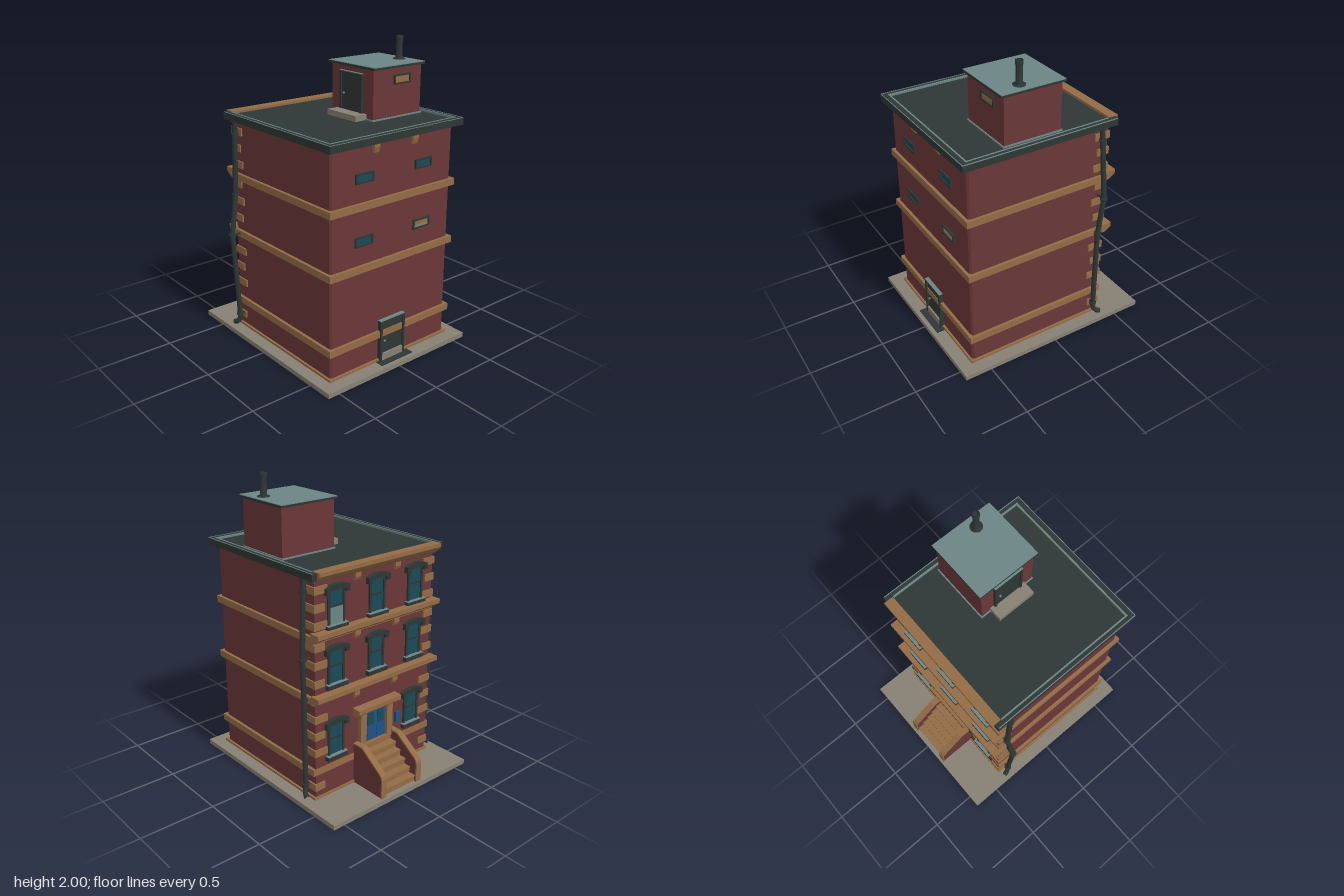
import * as THREE from 'three';

const mat = (name, color) => Object.assign(new THREE.MeshStandardMaterial({ color }), { name });
const brick = mat('brick', 0x6a3737);
const tan = mat('sandstone', 0x936b45);
const dark = mat('dark iron', 0x2e3735);
const slate = mat('pale slate', 0x6c8585);
const stone = mat('pavement', 0x878073);
const blue = mat('door blue', 0x1f5288);
const glass = mat('window glass', 0x174a58);

export function createModel() {
  const root = new THREE.Group();
  root.name = 'townhouse';
  let target = root;

  const add = (name, geo, m) => {
    const mesh = new THREE.Mesh(geo, m);
    mesh.name = name;
    target.add(mesh);
    return mesh;
  };
  const box = (name, m, x0, x1, y0, y1, z0, z1) => {
    const mesh = add(name, new THREE.BoxGeometry(x1 - x0, y1 - y0, z1 - z0), m);
    mesh.position.set((x0 + x1) / 2, (y0 + y1) / 2, (z0 + z1) / 2);
    return mesh;
  };
  const group = (name, build) => {
    const g = new THREE.Group();
    g.name = name;
    root.add(g);
    target = g;
    build();
    target = root;
  };
  // Profile in x and y, extruded along z
  const profile = (name, m, pts, z0, z1) => {
    const shape = new THREE.Shape(pts.map(p => new THREE.Vector2(...p)));
    const geo = new THREE.ExtrudeGeometry(shape, { depth: z1 - z0, bevelEnabled: false });
    return add(name, geo.translate(0, 0, z0), m);
  };
  // Dark block with a slate top
  const capped = (name, x0, x1, y0, y1, z0, z1) => {
    box(name, dark, x0, x1, y0, y1 - 0.004, z0, z1);
    box(name + 'Cap', slate, x0, x1, y1 - 0.004, y1, z0, z1);
  };

  // Pavement and the wall footings that show under it
  box('pavement', stone, -0.688, 0.688, 0.003, 0.035, -0.5875, 0.5875);
  group('footings', () => {
    for (const s of [-1, 1]) {
      box('sideFooting', brick, -0.4, 0.585, 0, 0.01, s * 0.482 - 0.008, s * 0.482 + 0.008);
      box('facadeFooting', brick, -0.4, -0.385, 0, 0.01, s * 0.315 - 0.165, s * 0.315 + 0.165);
    }
    box('rearFooting', brick, 0.57, 0.585, 0, 0.01, -0.49, 0.49);
  });

  // Main walls with narrow chamfered rear corners
  const plan = new THREE.Shape([[-0.4, -0.49], [0.573, -0.49], [0.585, -0.478], [0.585, 0.478], [0.573, 0.49], [-0.4, 0.49]]
    .map(p => new THREE.Vector2(...p)));
  const walls = new THREE.ExtrudeGeometry(plan, { depth: 1.46, bevelEnabled: false });
  walls.rotateX(-Math.PI / 2).translate(0, 0.035, 0);
  add('walls', walls, brick);

  // Stone courses
  group('courses', () => {
    box('baseCourse', tan, -0.41, 0.6, 0.035, 0.05, -0.505, 0.505);
    for (const [y0, y1] of [[0.205, 0.25], [0.695, 0.74], [1.09, 1.135]])
      box('course', tan, -0.405, 0.605, y0, y1, -0.51, 0.51);
    for (const y of [0.695, 1.1])
      profile('facadeCornice', tan, [[-0.39, y], [-0.415, y], [-0.44, y + 0.015], [-0.46, y + 0.03],
        [-0.46, y + 0.06], [-0.39, y + 0.06]], -0.515, 0.515);
    profile('topCornice', tan, [[-0.395, 1.535], [-0.46, 1.535], [-0.46, 1.51], [-0.44, 1.485],
      [-0.415, 1.465], [-0.395, 1.465]], -0.5, 0.5);
  });

  // Corner quoins, alternately long and short
  group('quoins', () => {
    [0.12, 0.36, 0.475, 0.59, 0.825, 0.945, 1.06, 1.195, 1.305, 1.415].forEach((y, i) => {
      const len = i % 2 ? 0.1 : 0.08;
      for (const s of [-1, 1]) {
        const z = [s * 0.5, s * (0.5 - len)].sort((a, b) => a - b);
        box('quoin', tan, -0.41, -0.4 + len, y - 0.024, y + 0.024, z[0], z[1]);
      }
    });
  });

  // Brackets below the eaves and the facade cornices
  const bracket = (x, dir, y) => z => profile('bracket', tan,
    (dir > 0 ? [[0, 0], [0, -0.075], [0.012, -0.065], [0.022, -0.03], [0.022, 0]]
      : [[0, 0], [-0.02, 0], [-0.02, -0.03], [-0.01, -0.05], [0, -0.05]]).map(p => [x + p[0], y + p[1]]), z - 0.022, z + 0.022);
  group('brackets', () => {
    [-0.153, 0.157].forEach(bracket(0.584, 1, 1.487));
    for (const y of [0.697, 1.1, 1.47]) [-0.165, 0.165].forEach(bracket(-0.399, -1, y));
  });

  // Small horizontal window on a wall facing +x
  const slotWindow = (x, y, z, pane) => {
    const w = 0.07, h = 0.031, t = 0.01;
    for (const s of [-1, 1]) {
      box('windowFrame', dark, x - 0.01, x + 0.012, y + s * (h - t / 2) - t / 2, y + s * (h - t / 2) + t / 2, z - w, z + w);
      box('windowFrame', dark, x - 0.01, x + 0.012, y - h, y + h, z + s * (w - t / 2) - t / 2, z + s * (w - t / 2) + t / 2);
    }
    box('windowPane', pane, x - 0.004, x + 0.004, y - h + t, y + h - t, z - w + t, z + w - t);
  };
  group('sideWindows', () => {
    for (const y of [1.285, 0.893]) for (const z of [0.24, -0.237])
      slotWindow(0.585, y, z, y < 1 && z < 0 ? tan : glass);
    box('windowBlind', stone, 0.588, 0.591, 0.871, 0.885, -0.295, -0.18);
  });

  // Facade windows with arched hoods and sills
  const hood = new THREE.Shape();
  hood.moveTo(-0.09, -0.025).lineTo(-0.09, 0.015).quadraticCurveTo(0, 0.055, 0.09, 0.015)
    .lineTo(0.09, -0.025).lineTo(0.06, -0.025).lineTo(0.06, 0).lineTo(-0.06, 0).lineTo(-0.06, -0.025);
  const facadeWindow = (y, z) => {
    const h = 0.23;
    box('windowPane', glass, -0.405, -0.397, y, y + h, z - 0.06, z + 0.06);
    for (const s of [-1, 1]) box('windowJamb', dark, -0.412, -0.395, y, y + h, z + s * 0.058 - 0.008, z + s * 0.058 + 0.008);
    box('windowRail', dark, -0.41, -0.395, y + 0.11, y + 0.122, z - 0.06, z + 0.06);
    capped('windowSill', -0.43, -0.395, y - 0.028, y + 0.004, z - 0.08, z + 0.08);
    const geo = new THREE.ExtrudeGeometry(hood, { depth: 0.035, bevelEnabled: false, curveSegments: 8 });
    add('windowHood', geo.rotateY(-Math.PI / 2).translate(-0.395, y + h - 0.01, z), dark);
  };
  group('facadeWindows', () => {
    for (const z of [-0.33, 0, 0.33]) {
      for (const y of [0.8, 1.18]) facadeWindow(y, z);
      if (z) facadeWindow(0.31, z);
    }
    box('curtain', slate, -0.408, -0.404, 1.185, 1.29, -0.38, -0.28);
  });

  // Front entrance
  group('entrance', () => {
    box('entranceDoor', blue, -0.412, -0.395, 0.3, 0.52, -0.09, 0.09);
    for (const s of [-1, 1]) {
      box('doorPanel', blue, -0.417, -0.41, 0.315, 0.39, s * 0.043 - 0.03, s * 0.043 + 0.03);
      box('doorGlass', glass, -0.415, -0.41, 0.41, 0.5, s * 0.043 - 0.028, s * 0.043 + 0.028);
      box('doorPost', tan, -0.43, -0.395, 0.3, 0.52, s * 0.115 - 0.025, s * 0.115 + 0.025);
    }
    profile('doorHood', tan, [[-0.395, 0.515], [-0.43, 0.515], [-0.46, 0.54], [-0.46, 0.57], [-0.395, 0.575]], -0.185, 0.185);
    box('letterBox', blue, -0.42, -0.395, 0.35, 0.425, 0.185, 0.225);
  });

  // Entrance stairs between solid side walls
  group('stairs', () => {
    const n = 6;
    for (let i = 0; i < n; i++) {
      const x = -0.655 + i * 0.045, top = 0.035 + (i + 1) * 0.0435;
      box('riser', tan, x + 0.006, -0.395, top - 0.044, top - 0.012, -0.14, 0.14);
      box('tread', tan, x, -0.395, top - 0.012, top, -0.14, 0.14);
    }
    const edge = [[-0.67, 0.035], [-0.67, 0.165], [-0.664, 0.188], [-0.645, 0.208], [-0.49, 0.318], [-0.475, 0.322], [-0.395, 0.322]];
    for (const z of [-0.157, 0.153]) {
      profile('stairWall', brick, [[-0.395, 0.035], [-0.395, 0.315], [-0.474, 0.315], [-0.486, 0.311], [-0.641, 0.201],
        [-0.657, 0.184], [-0.662, 0.164], [-0.662, 0.035]], z - 0.018, z + 0.018);
      const inner = [[-0.395, 0.312], [-0.472, 0.312], [-0.484, 0.308], [-0.639, 0.198], [-0.654, 0.182], [-0.66, 0.163], [-0.66, 0.035]];
      profile('stairCoping', tan, [...edge, ...inner], z - 0.022, z + 0.022);
    }
  });

  // Rear door
  group('rearDoor', () => {
    box('door', dark, 0.58, 0.6, 0.04, 0.31, -0.09, 0.095);
    for (const s of [-1, 1]) box('doorJamb', dark, 0.58, 0.613, 0.04, 0.315, s * 0.096 - 0.006, s * 0.096 + 0.01);
    capped('doorHead', 0.58, 0.613, 0.303, 0.32, -0.102, 0.106);
    box('doorStep', stone, 0.58, 0.612, 0.035, 0.085, -0.09, 0.095);
    box('doorMat', dark, 0.58, 0.657, 0.03, 0.039, -0.135, 0.13);
    add('doorKnob', new THREE.SphereGeometry(0.008, 10, 8), slate).position.set(0.606, 0.17, 0.065);
  });

  // Flat roof with raised rim and slate edging
  group('roof', () => {
    box('roofDeck', dark, -0.4, 0.6, 1.485, 1.518, -0.5, 0.5);
    for (const s of [-1, 1]) {
      const strip = (z, t, y) => box('rimEdging', slate, -0.435, 0.633, 1.528, y, s * z - t, s * z + t);
      box('sideRim', dark, -0.44, 0.635, 1.485, 1.53, s * 0.517 - 0.018, s * 0.517 + 0.018);
      strip(0.532, 0.003, 1.532);
      box('rimEdging', slate, -0.39, 0.6, 1.515, 1.532, s * 0.5 - 0.005, s * 0.5 + 0.005);
    }
    box('rearRim', dark, 0.595, 0.635, 1.485, 1.53, -0.535, 0.535);
    box('rimEdging', slate, 0.63, 0.635, 1.528, 1.532, -0.535, 0.535);
    box('rimEdging', slate, 0.587, 0.597, 1.515, 1.532, -0.5, 0.5);
  });

  // Roof house with door, window and flue
  group('roofHouse', () => {
    box('roofHouseWalls', brick, -0.067, 0.325, 1.515, 1.838, -0.46, -0.057);
    box('baseFlashing', slate, -0.075, 0.333, 1.515, 1.527, -0.468, -0.049);
    capped('roofHouseRoof', -0.085, 0.347, 1.834, 1.852, -0.473, -0.042);
    box('roofDoor', dark, 0.04, 0.222, 1.55, 1.79, -0.06, -0.048);
    for (const x of [0.025, 0.22]) box('roofDoorJamb', dark, x, x + 0.015, 1.55, 1.8, -0.06, -0.04);
    capped('roofDoorHead', 0.025, 0.235, 1.785, 1.802, -0.06, -0.04);
    add('doorKnob', new THREE.SphereGeometry(0.008, 10, 8), slate).position.set(0.065, 1.66, -0.042);
    box('roofStep', stone, -0.003, 0.265, 1.515, 1.555, -0.06, 0.033);
    slotWindow(0.325, 1.758, -0.293, tan);
    const flue = [[0.04, 1.85], [0.04, 1.856], [0.022, 1.862], [0.02, 1.97], [0.024, 1.975], [0.024, 2], [0.016, 2], [0.016, 1.96], [0, 1.96]]
      .map(p => new THREE.Vector2(...p));
    add('flue', new THREE.LatheGeometry(flue, 16), dark).position.set(0.187, 0, -0.4);
  });

  // Crooked drainpipes with clamps
  const pipe = pts => {
    const path = new THREE.CurvePath();
    const v = pts.map(p => new THREE.Vector3(...p));
    for (let i = 1; i < v.length; i++) path.add(new THREE.LineCurve3(v[i - 1], v[i]));
    add('pipe', new THREE.TubeGeometry(path, 60, 0.017, 10), dark);
    const end = Math.sign(v[0].z);
    for (const y of [1.405, 0.99, 0.72, 0.135]) {
      const i = v.findIndex(p => p.y <= y), a = v[i - 1], b = v[i];
      const p = a.clone().lerp(b, (a.y - y) / (a.y - b.y));
      add('clamp', new THREE.CylinderGeometry(0.024, 0.024, 0.014, 12), dark).position.copy(p);
      const z = [end * 0.485, p.z].sort((m, n) => m - n);
      box('clampArm', dark, p.x - 0.008, p.x + 0.008, y - 0.006, y + 0.006, z[0], z[1]);
    }
  };
  group('drainpipes', () => {
    pipe([[-0.335, 1.49, 0.522], [-0.358, 0.99, 0.522], [-0.342, 0.72, 0.568], [-0.345, 0.11, 0.53], [-0.355, 0.07, 0.54], [-0.39, 0.06, 0.55]]);
    pipe([[-0.335, 1.49, -0.517], [-0.358, 0.99, -0.55], [-0.342, 0.72, -0.53], [-0.345, 0.11, -0.527], [-0.355, 0.07, -0.54], [-0.39, 0.06, -0.55]]);
  });

  return root;
}
